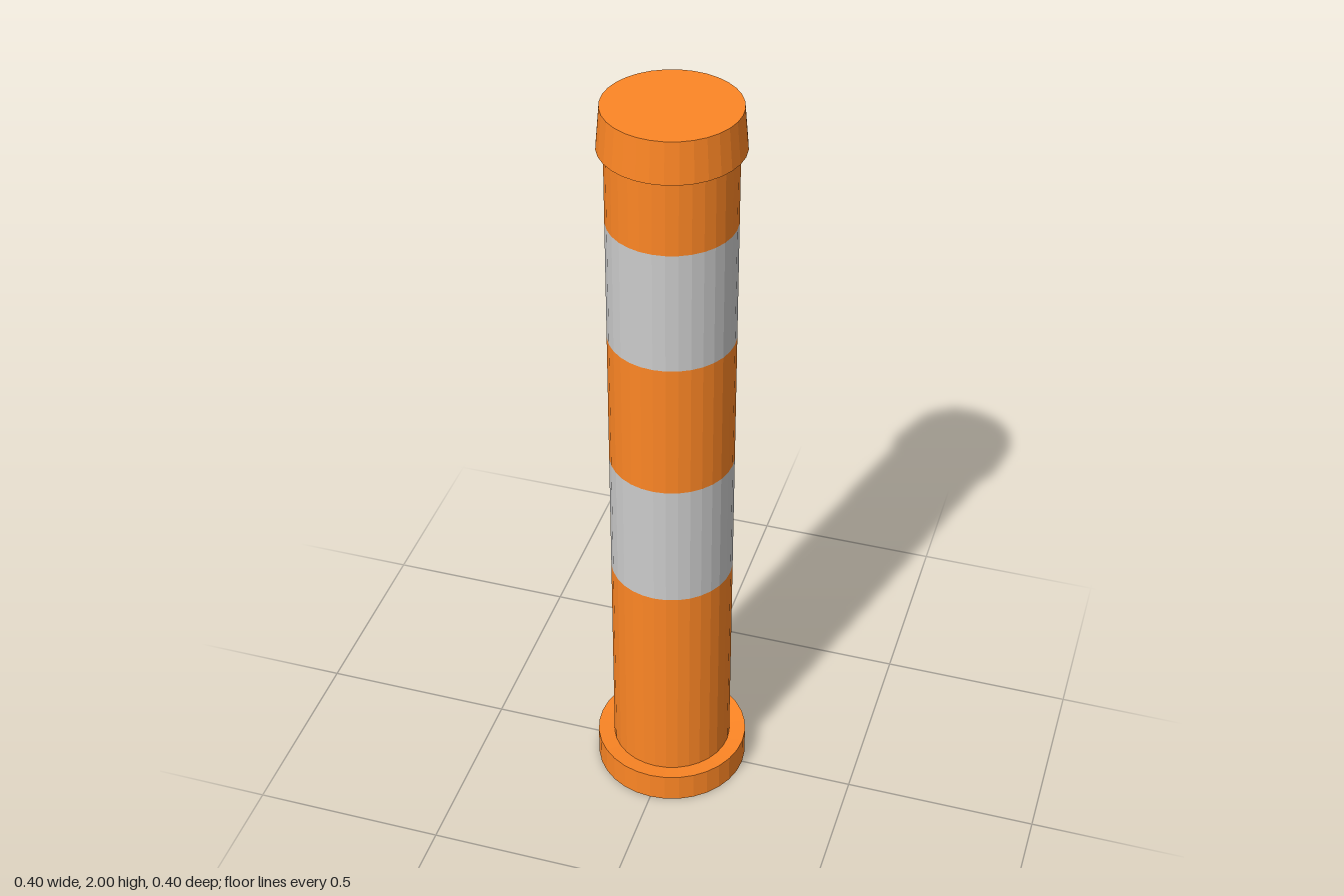
import * as THREE from 'three';

const SIDES = 32;
const POLE_RADIUS = 0.157;

export function createModel() {
  const group = new THREE.Group();
  const orange = new THREE.MeshStandardMaterial({ color: 0xfd8625, flatShading: true });
  const grey = new THREE.MeshStandardMaterial({ color: 0xcccccc, flatShading: true });

  const add = (name, geometry, material, y = 0) => {
    const mesh = new THREE.Mesh(geometry, material);
    mesh.name = name;
    mesh.position.y = y;
    group.add(mesh);
  };

  // Base disc, its top dipping slightly towards the pole
  const baseProfile = [[0, 0], [0.2, 0], [0.2, 0.08], [POLE_RADIUS - 0.002, 0.075]]
    .map(([r, y]) => new THREE.Vector2(r, y));
  add('base', new THREE.LatheGeometry(baseProfile, SIDES), orange);

  // Pole sections, alternating plain and reflective bands
  const levels = [0.07, 0.67, 1.015, 1.38, 1.7, 1.9];
  for (let i = 0; i < levels.length - 1; i++) {
    const height = levels[i + 1] - levels[i];
    const isBand = i % 2 === 1;
    add(
      isBand ? `reflectiveBand${(i + 1) / 2}` : `poleSection${i / 2 + 1}`,
      new THREE.CylinderGeometry(POLE_RADIUS, POLE_RADIUS, height, SIDES, 1, true),
      isBand ? grey : orange,
      levels[i] + height / 2
    );
  }

  // Tapered cap
  add('cap', new THREE.CylinderGeometry(0.165, 0.174, 0.105, SIDES), orange, 1.9475);

  return group;
}
